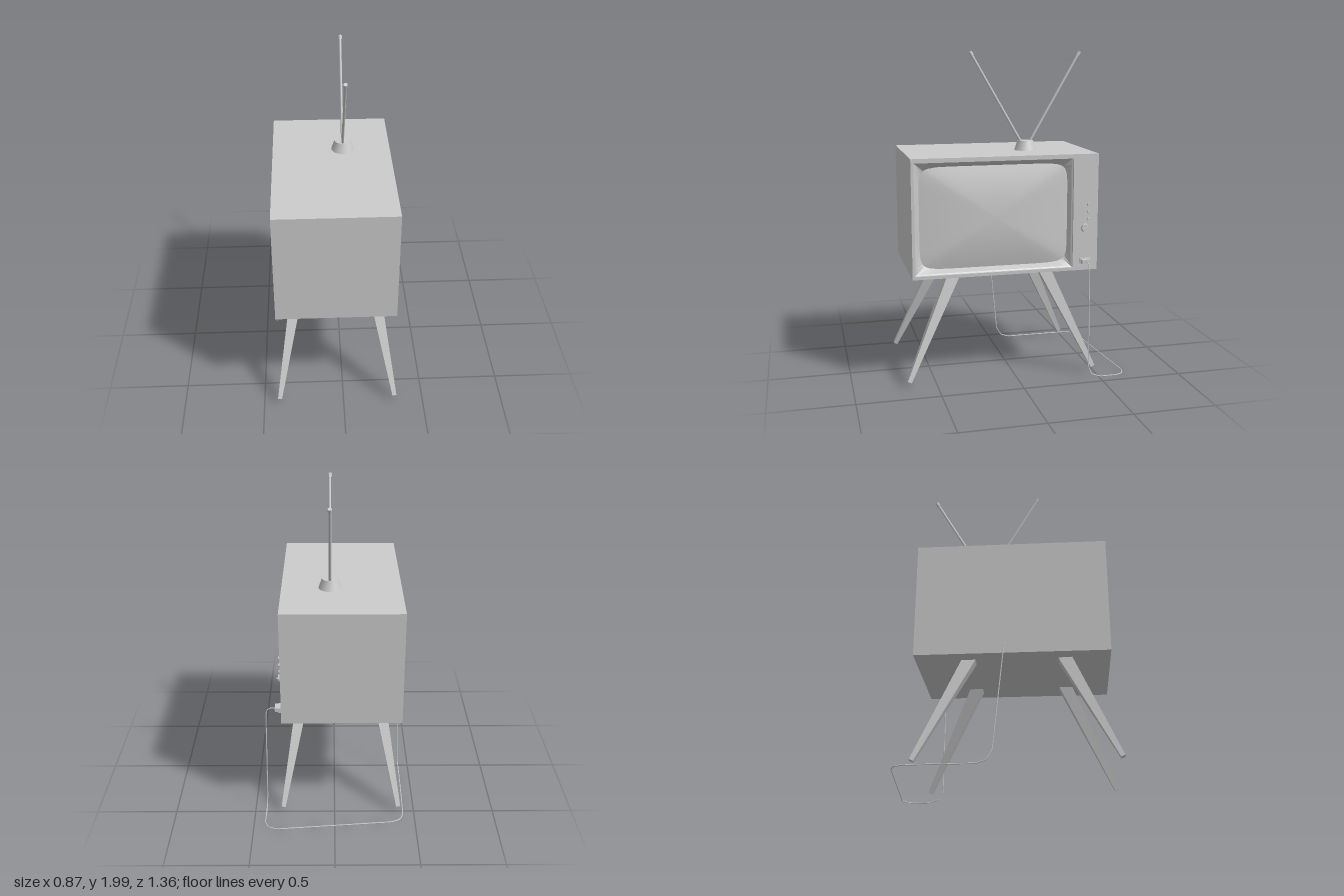
import * as THREE from 'three';
import { toCreasedNormals } from 'three/addons/utils/BufferGeometryUtils.js';

const mat = new THREE.MeshStandardMaterial({ color: 0xcccccc });
const thin = new THREE.MeshStandardMaterial({ color: 0xcccccc, side: THREE.DoubleSide });
const V = (x, y, z) => new THREE.Vector3(x, y, z);

function add(parent, name, geometry, x = 0, y = 0, z = 0, material = mat) {
  const mesh = new THREE.Mesh(geometry, material);
  mesh.name = name;
  mesh.position.set(x, y, z);
  parent.add(mesh);
  return mesh;
}

// Skin a list of closed rings, each ring lying inside the one before
function loft(rings) {
  const n = rings[0].length, index = [];
  for (let r = 0; r < rings.length - 1; r++) {
    for (let i = 0; i < n; i++) {
      const j = (i + 1) % n, a = r * n, b = a + n;
      index.push(a + i, a + j, b + j, a + i, b + j, b + i);
    }
  }
  const g = new THREE.BufferGeometry().setFromPoints(rings.flat());
  g.setIndex(index);
  g.computeVertexNormals();
  return g;
}

// Ring on the screen side: power Infinity is a rectangle, lower powers round the corners
const CY = 1.027, CZ = 0.132, SIDE = 14;
function ring(x, halfW, halfH, power, dz = 0, dy = 0) {
  const pts = [];
  for (let s = 0; s < 4; s++) {
    for (let i = 0; i < SIDE; i++) {
      const t = -Math.cos((i / SIDE) * Math.PI);
      const [u, v] = [[t, -1], [1, t], [-t, 1], [-1, -t]][s];
      const k = power === Infinity ? 1 : (Math.abs(u) ** power + Math.abs(v) ** power) ** (-1 / power);
      pts.push(V(x, CY + dy + v * k * halfH, CZ + dz - u * k * halfW));
    }
  }
  return pts;
}

// Square tapered bar between two points
function taperedBar(bottom, top, wBottom, wTop) {
  const dir = top.clone().sub(bottom), len = dir.length();
  const yAxis = dir.normalize();
  const zAxis = V(1, 0, 0).cross(yAxis).normalize();
  const xAxis = yAxis.clone().cross(zAxis);
  const g = new THREE.BoxGeometry(1, len, 1);
  const p = g.attributes.position;
  for (let i = 0; i < p.count; i++) {
    const w = p.getY(i) > 0 ? wTop : wBottom;
    p.setX(i, p.getX(i) * w);
    p.setZ(i, p.getZ(i) * w);
  }
  g.applyMatrix4(new THREE.Matrix4().makeBasis(xAxis, yAxis, zAxis));
  g.computeVertexNormals();
  const mid = bottom.clone().add(top).multiplyScalar(0.5);
  return g.translate(mid.x, mid.y, mid.z);
}

// Round rod between two points
function rod(a, b, radius, sides = 8) {
  const d = b.clone().sub(a), g = new THREE.CylinderGeometry(radius, radius, d.length(), sides);
  g.applyQuaternion(new THREE.Quaternion().setFromUnitVectors(V(0, 1, 0), d.normalize()));
  const m = a.clone().add(b).multiplyScalar(0.5);
  return g.translate(m.x, m.y, m.z);
}

export function createModel() {
  const model = new THREE.Group();
  model.name = 'television';

  // Cabinet: closed rear box and a front frame with the screen opening
  const cabinet = new THREE.Group();
  cabinet.name = 'cabinet';
  model.add(cabinet);
  add(cabinet, 'cabinetBody', new THREE.BoxGeometry(0.6, 0.72, 1.145), -0.107, 1.03, 0.0625);
  const face = new THREE.Shape();
  face.moveTo(-0.635, 0.67).lineTo(0.51, 0.67).lineTo(0.51, 1.39).lineTo(-0.635, 1.39).closePath();
  const hole = new THREE.Path();
  hole.moveTo(-0.617, 0.69).lineTo(-0.617, 1.364).lineTo(0.353, 1.364).lineTo(0.353, 0.69).closePath();
  face.holes.push(hole);
  const frame = new THREE.ExtrudeGeometry(face, { depth: 0.127, bevelEnabled: false });
  add(cabinet, 'frontFrame', frame.rotateY(Math.PI / 2), 0.193);

  // Bezel sloping in to a bulging tube screen
  const edge = [0.458, 0.31, 10, -0.009, -0.006];
  const bezel = loft([ring(0.305, 0.485, 0.337, Infinity), ring(0.3, 0.477, 0.33, Infinity), ring(0.25, ...edge)]);
  add(cabinet, 'bezel', toCreasedNormals(bezel, 0.5), 0, 0, 0, thin);
  const rings = [];
  for (let i = 0; i <= 8; i++) {
    const s = 1 - i / 8;
    rings.push(ring(0.25 + 0.04 * (1 - s * s), Math.max(s, 1e-3) * edge[0], Math.max(s, 1e-3) * edge[1], 10, edge[3], edge[4]));
  }
  add(cabinet, 'screen', loft(rings));

  // Controls
  const controls = new THREE.Group();
  controls.name = 'controls';
  model.add(controls);
  const knob = (name, r, depth, y, z) =>
    add(controls, name, new THREE.CylinderGeometry(r * 0.9, r, depth, 12).rotateZ(-Math.PI / 2), 0.32 + depth / 2, y, z);
  knob('tuningKnob', 0.027, 0.014, 0.935, -0.43);
  add(controls, 'tuningGrip', new THREE.BoxGeometry(0.012, 0.009, 0.046), 0.336, 0.935, -0.43).rotation.x = 0.5;
  for (const y of [0.99, 1.035, 1.08]) knob('smallKnob', 0.012, 0.01, y, -0.452);

  // Splayed tapered legs
  for (const sx of [-1, 1]) {
    for (const sz of [-1, 1]) {
      const foot = V(-0.04 + sx * 0.362, 0.04, 0.0875 + sz * 0.58);
      const top = V(-0.04 + sx * 0.236, 0.69, 0.0875 + sz * 0.275);
      add(model, 'leg', taperedBar(foot, top, 0.026, 0.076));
    }
  }

  // Rabbit-ear aerial
  const aerial = new THREE.Group();
  aerial.name = 'aerial';
  model.add(aerial);
  const base = new THREE.CylinderGeometry(0.049, 0.07, 0.06, 14);
  add(aerial, 'aerialBase', toCreasedNormals(base, 0.6), 0.026, 1.42, -0.127);
  for (const s of [-1, 1]) {
    const a = V(0.026, 1.435, -0.127 + s * 0.025), b = V(0.026, 1.994, -0.127 + s * 0.348);
    add(aerial, 'aerialRod', rod(a, b, 0.008));
    add(aerial, 'aerialTip', rod(a.clone().lerp(b, 0.96), b, 0.012));
  }

  // Plug and cable trailing round behind the cabinet
  add(model, 'plugBase', new THREE.BoxGeometry(0.02, 0.032, 0.064), 0.33, 0.73, -0.43);
  add(model, 'plug', new THREE.BoxGeometry(0.034, 0.026, 0.056), 0.343, 0.73, -0.43);
  const path = new THREE.CurvePath();
  const pts = [
    [-0.4, 0.785, 0.025], [-0.41, 0.67, 0.013], [-0.425, 0.085, -0.045], [-0.432, 0.03, -0.077],
    [-0.435, 0.01, -0.13], [-0.43, 0.01, -0.53], [-0.41, 0.01, -0.585], [-0.355, 0.01, -0.612],
    [0.355, 0.01, -0.677], [0.41, 0.01, -0.66], [0.432, 0.01, -0.61], [0.43, 0.01, -0.507],
    [0.428, 0.03, -0.45], [0.426, 0.085, -0.43], [0.417, 0.68, -0.43], [0.411, 0.715, -0.43],
    [0.39, 0.728, -0.43], [0.35, 0.73, -0.43],
  ].map((p) => V(...p));
  for (let i = 1; i < pts.length; i++) path.add(new THREE.LineCurve3(pts[i - 1], pts[i]));
  add(model, 'cable', new THREE.TubeGeometry(path, 160, 0.0035, 6), 0, 0, 0, thin);

  return model;
}
